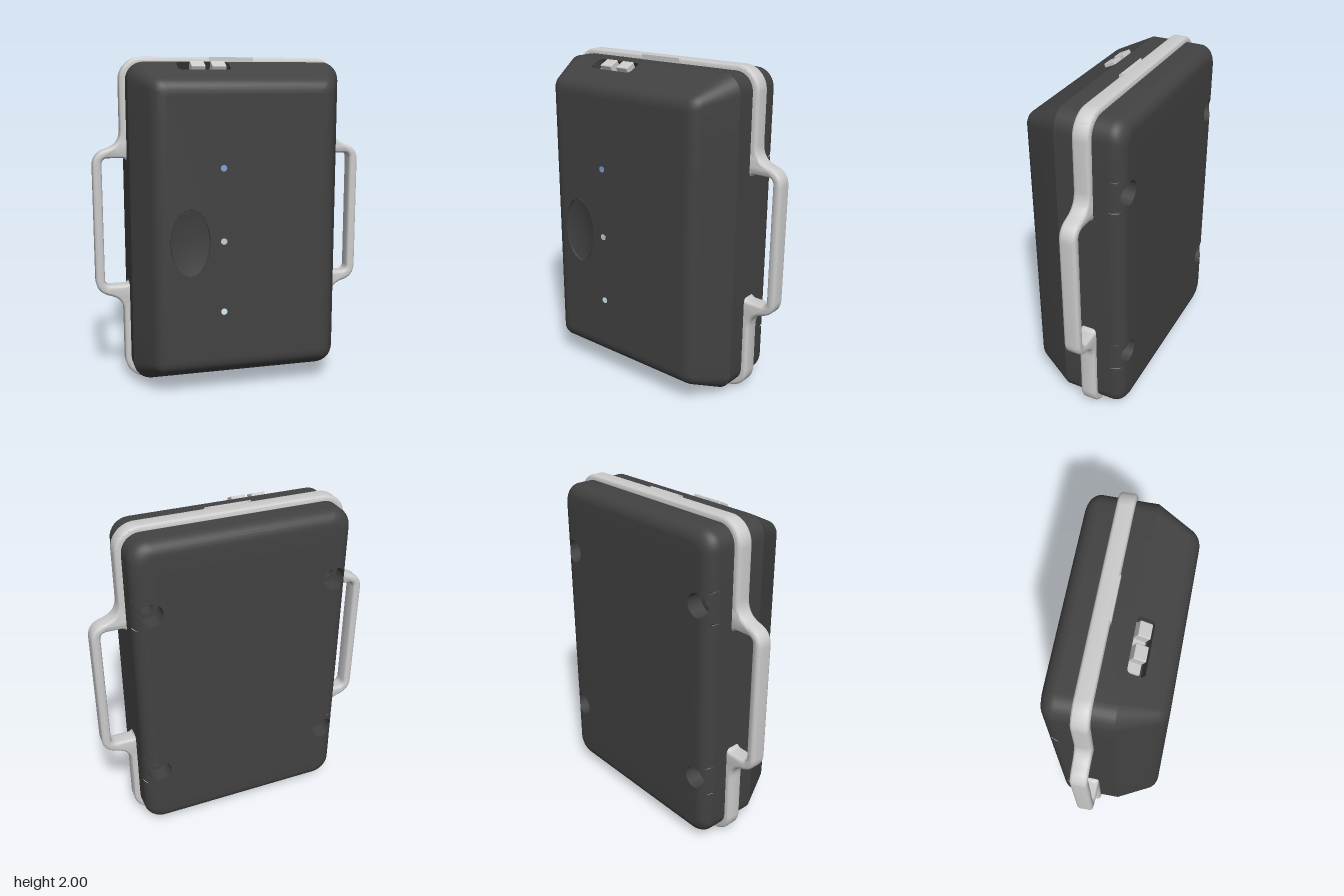
import * as THREE from 'three';
import { toCreasedNormals } from 'three/addons/utils/BufferGeometryUtils.js';
import { RoundedBoxGeometry } from 'three/addons/geometries/RoundedBoxGeometry.js';

const dark = new THREE.MeshStandardMaterial({ color: 0x424242 });
const grey = new THREE.MeshStandardMaterial({ color: 0xcccccc });
const CY = 1.005, HW = 0.65, HH = 0.965; // body centre height and half sizes
const ARC = 8;
const HOLE_X = 0.555, HOLE_Y = 0.55, PATCH = 0.095; // screw recess layout

function add(parent, name, geometry, material, x = 0, y = 0, z = 0) {
  const mesh = new THREE.Mesh(geometry, material);
  mesh.name = name;
  mesh.position.set(x, y, z);
  parent.add(mesh);
  return mesh;
}

// Counter-clockwise rounded rectangle; sideYs adds points along both upright sides
function roundedRect(cx, cy, hw, hh, r, sideYs = []) {
  const pts = sideYs.map(y => new THREE.Vector2(cx + hw, cy + y));
  [[1, 1], [-1, 1], [-1, -1], [1, -1]].forEach(([sx, sy], k) => {
    for (let i = 0; i <= ARC; i++) {
      const a = (k + i / ARC) * Math.PI / 2;
      pts.push(new THREE.Vector2(cx + sx * (hw - r) + r * Math.cos(a), cy + sy * (hh - r) + r * Math.sin(a)));
    }
    if (k === 1) for (const y of [...sideYs].reverse()) pts.push(new THREE.Vector2(cx - hw, cy + y));
  });
  return pts;
}

function ellipse(cx, cy, rx, ry, n = 48) {
  return Array.from({ length: n }, (_, i) => {
    const a = i / n * Math.PI * 2;
    return new THREE.Vector2(cx + rx * Math.cos(a), cy + ry * Math.sin(a));
  });
}

const atZ = (pts, z) => pts.map(p => new THREE.Vector3(p.x, p.y, z));

// Skin a list of closed loops; skip(row, column) leaves openings
function loft(loops, skip = () => false, crease = 0.4) {
  const n = loops[0].length, index = [];
  for (let i = 0; i < loops.length - 1; i++) for (let j = 0; j < n; j++) {
    if (skip(i, j)) continue;
    const k = (j + 1) % n, a = i * n, b = a + n;
    index.push(a + j, a + k, b + k, a + j, b + k, b + j);
  }
  const g = new THREE.BufferGeometry().setFromPoints(loops.flat());
  g.setIndex(index);
  return toCreasedNormals(g, crease);
}

function plate(outline, holes = []) {
  const s = new THREE.Shape(outline);
  s.holes = holes.map(h => new THREE.Path(h));
  return new THREE.ShapeGeometry(s);
}

function buildBody(group) {
  const ys = [-HOLE_Y - PATCH, -HOLE_Y + PATCH, HOLE_Y - PATCH, HOLE_Y + PATCH];
  // [inset, z] profile from the back face to the front face
  const profile = [[0.19, -0.32]];
  for (let i = 8; i >= 0; i--) {
    const a = i / 8 * Math.PI / 2;
    profile.push([0.08 * (1 - Math.cos(a)), -0.24 - 0.08 * Math.sin(a)]);
  }
  const chamferRow = profile.length;
  profile.push([0, 0.07]);
  const edge = new THREE.QuadraticBezierCurve(
    new THREE.Vector2(0.093, 0.27), new THREE.Vector2(0.119, 0.325), new THREE.Vector2(0.18, 0.325));
  for (const p of edge.getPoints(8)) profile.push([p.x, p.y]);
  const loops = profile.map(([d, z]) => atZ(roundedRect(0, CY, HW - d, HH - d, 0.11 - d / 2, ys), z));

  // openings for the screw patches and the switch panel
  const topCol = 4 + ARC, leftCol = 6 + 2 * ARC;
  const skip = (i, j) => (i < 9 && [0, 2, leftCol, leftCol + 2].includes(j)) || (i === chamferRow && j === topCol);
  add(group, 'bodyShell', loft(loops, skip), dark);

  // back face
  const back = plate(roundedRect(0, CY, HW - 0.19, HH - 0.19, 0.015));
  back.rotateY(Math.PI);
  add(group, 'backFace', back, dark, 0, 0, -0.32);

  // front face with a dished oval button
  const oval = k => ellipse(-0.34, 0.935, 0.118 * k, 0.205 * k);
  add(group, 'frontFace', plate(roundedRect(0, CY, HW - 0.18, HH - 0.18, 0.02), [oval(1)]), dark, 0, 0, 0.325);
  const dish = [[1, 0.325], [1, 0.31], [0.965, 0.31], [0.965, 0.322]];
  for (let i = 0; i <= 8; i++) {
    const k = 0.96 * (1 - i / 8) + 0.001;
    dish.push([k, 0.302 + 0.02 * k * k]);
  }
  add(group, 'ovalButton', loft(dish.map(([k, z]) => atZ(oval(k), z))), dark);
}

// Stepped screw recess, blended out to a square patch of the rounded back edge
function screwRecess(side, y) {
  const surface = x => {
    const d = Math.max(0, Math.abs(x) - 0.57);
    return -0.24 - Math.sqrt(Math.max(0, 0.0064 - d * d));
  };
  const cx = side * HOLE_X, r = 0.07;
  const loops = [[0.001, -0.14], [0.04, -0.14], [0.04, -0.22], [r, -0.22]]
    .map(([q, z]) => atZ(ellipse(cx, y, q, q), z));
  for (let i = 0; i <= 5; i++) {
    loops.push(ellipse(0, 0, 1, 1).map(p => {
      const k = THREE.MathUtils.lerp(r, PATCH / Math.max(Math.abs(p.x), Math.abs(p.y)), i / 5);
      const x = cx + p.x * k;
      return new THREE.Vector3(x, y + p.y * k, surface(x));
    }));
  }
  return loft(loops);
}

// Sloped top panel with a recessed pair of sliders
function buildSwitchPanel() {
  const panel = new THREE.Group();
  panel.name = 'switchPanel';
  panel.position.set(0, CY + HH, 0.07);
  panel.rotation.x = -Math.atan2(0.2, 0.093);
  const len = Math.hypot(0.2, 0.093);
  const outline = [[-0.54, 0], [-0.4935, -len], [0.4935, -len], [0.54, 0]].map(p => new THREE.Vector2(...p));
  const slot = roundedRect(-0.21, -0.06, 0.157, 0.052, 0.025);
  add(panel, 'slopedPanel', plate(outline, [slot]), dark);
  add(panel, 'slotWall', loft([atZ(slot, 0), atZ(slot, -0.06)]), dark);
  add(panel, 'slotFloor', plate(slot), dark, 0, 0, -0.06);
  add(panel, 'sliderBase', new THREE.BoxGeometry(0.27, 0.07, 0.02), grey, -0.21, -0.06, -0.05);
  for (const x of [-0.2475, -0.1225]) {
    add(panel, 'sliderKnob', new RoundedBoxGeometry(0.085, 0.072, 0.065, 2, 0.006), grey, x, -0.06, -0.016);
  }
  return panel;
}

// Bumper band around the body with a loop handle on each side
function buildFrame(group) {
  const path = new THREE.Path();
  path.moveTo(0.3, 0);
  path.lineTo(0.545, 0);
  path.absarc(0.545, 0.14, 0.14, -Math.PI / 2, 0);
  path.lineTo(0.685, 0.43);
  path.bezierCurveTo(0.685, 0.5, 0.72, 0.53, 0.77, 0.545);
  path.bezierCurveTo(0.83, 0.56, 0.855, 0.6, 0.855, 0.65);
  const quarter = path.getPoints(10);
  const half = [...quarter, ...quarter.map(p => new THREE.Vector2(p.x, 2 - p.y)).reverse()];
  const shape = new THREE.Shape([...half, ...half.map(p => new THREE.Vector2(-p.x, p.y)).reverse()]);
  shape.holes = [-1, 1].map(s => new THREE.Path(roundedRect(s * 0.7225, CY, 0.0775, 0.395, 0.035)));
  const b = 0.02;
  const g = new THREE.ExtrudeGeometry(shape, {
    depth: 0.1 - 2 * b, bevelEnabled: true, bevelSize: b, bevelThickness: b, bevelOffset: -b, bevelSegments: 4,
  });
  add(group, 'handleFrame', toCreasedNormals(g, 0.6), grey, 0, 0, -0.15 + b);

  // small tapered tabs in the middle of the top and bottom edges
  const tab = new THREE.Shape([[-0.14, 0.045], [0.14, 0.045], [0.1, 0.07], [-0.1, 0.07]].map(p => new THREE.Vector2(...p)));
  const tabGeo = new THREE.ExtrudeGeometry(tab, { depth: 0.04, bevelEnabled: false });
  tabGeo.rotateX(-Math.PI / 2);
  add(group, 'topTab', tabGeo, grey, 0, 1.96, 0);
  add(group, 'bottomTab', tabGeo, grey);
}

export function createModel() {
  const group = new THREE.Group();
  group.name = 'handheldDevice';
  buildBody(group);
  for (const side of [-1, 1]) for (const up of [-1, 1]) {
    add(group, 'screwRecess', screwRecess(side, CY + up * HOLE_Y), dark);
  }
  group.add(buildSwitchPanel());
  buildFrame(group);

  // indicator lights
  [[1.365, 0x7f9fdd], [0.935, 0xcccccc], [0.51, 0xd8ecf8]].forEach(([y, color]) => {
    const light = add(group, 'indicatorLight', new THREE.CylinderGeometry(0.019, 0.019, 0.01, 20),
      new THREE.MeshStandardMaterial({ color }), -0.14, y, 0.322);
    light.rotation.x = Math.PI / 2;
  });
  return group;
}
